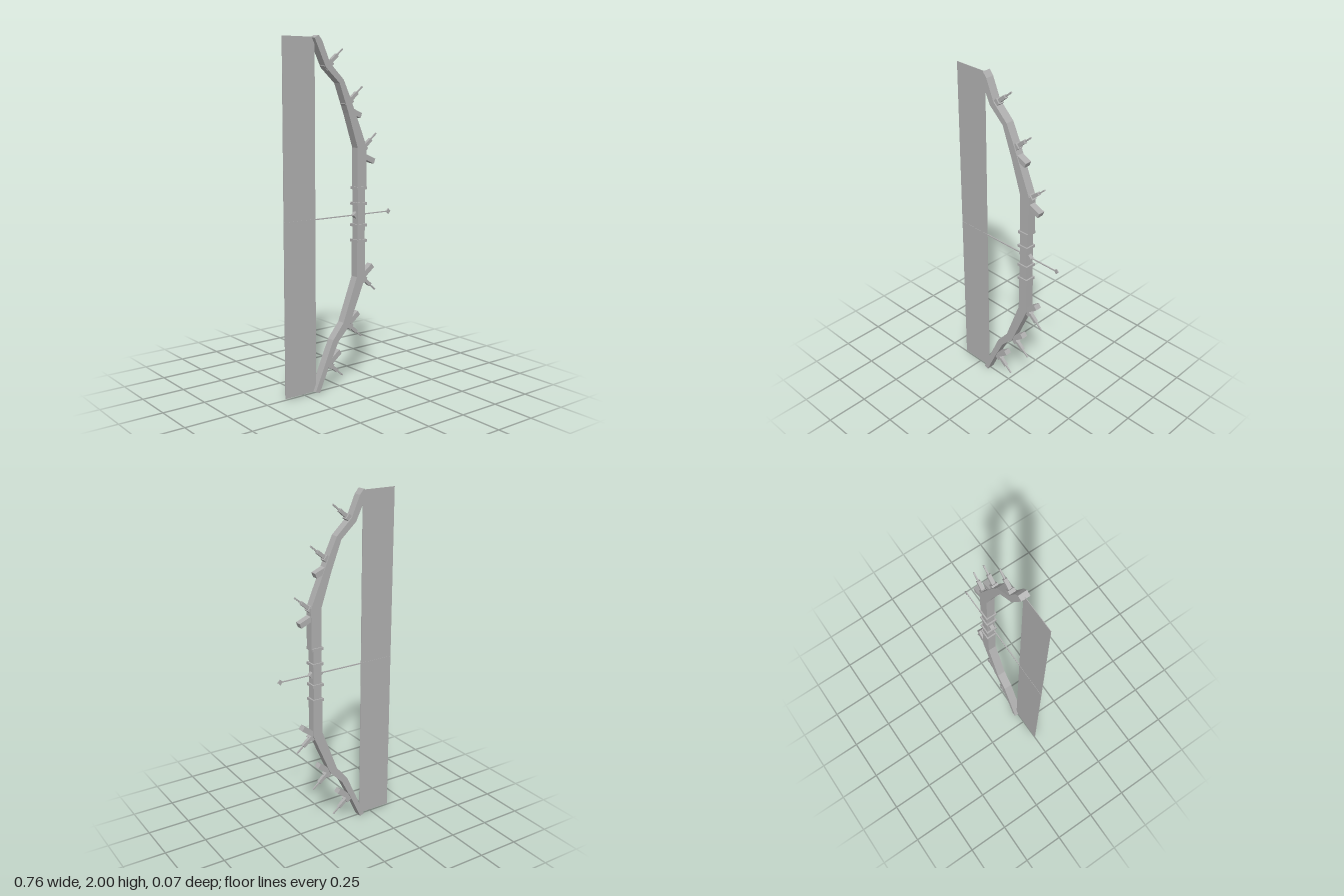
import * as THREE from 'three';

export function createModel() {
  const bow = new THREE.Group();
  bow.name = 'thornBow';
  const grey = new THREE.MeshStandardMaterial({ color: 0xb0b0b0 });
  grey.name = 'grey';

  function box(name, w, h, d, x, y, angle = 0, parent = bow) {
    const mesh = new THREE.Mesh(new THREE.BoxGeometry(w, h, d), grey);
    mesh.name = name;
    mesh.position.set(x, y, 0);
    mesh.rotation.z = angle;
    parent.add(mesh);
    return mesh;
  }

  // Limb outline extruded to a constant depth
  function limb(name, points) {
    const shape = new THREE.Shape(points.map(([x, y]) => new THREE.Vector2(x, y)));
    const geo = new THREE.ExtrudeGeometry(shape, { depth: 0.05, bevelEnabled: false });
    geo.translate(0, 0, -0.025);
    const mesh = new THREE.Mesh(geo, grey);
    mesh.name = name;
    bow.add(mesh);
  }
  limb('upperLimb', [
    [0.11, 1.155], [0.175, 1.155], [0.175, 1.39], [0.06, 1.66], [0.01, 1.765], [-0.085, 1.855],
    [-0.135, 1.97], [-0.16, 2.0], [-0.187, 1.985], [-0.112, 1.83], [-0.018, 1.745], [0.045, 1.58], [0.11, 1.385],
  ]);
  limb('lowerLimb', [
    [0.107, 0.85], [0.107, 0.64], [0.01, 0.385], [-0.064, 0.295], [-0.122, 0.165], [-0.188, 0.013],
    [-0.16, 0.003], [-0.095, 0.145], [-0.027, 0.28], [0.052, 0.36], [0.168, 0.63], [0.168, 0.85],
  ]);

  // Grip, its bands and the arrow rest
  box('grip', 0.052, 0.32, 0.05, 0.138, 1.0);
  for (const y of [0.85, 0.94, 1.065, 1.155]) box('gripBand', 0.07, 0.016, 0.066, 0.138, y);
  box('arrowRest', 0.064, 0.064, 0.024, 0.138, 1.0, Math.PI / 4);

  // Stepped thorns: three narrowing blocks along one direction
  function thorn(x, y, up) {
    const group = new THREE.Group();
    group.name = 'thorn';
    group.position.set(x, y, 0);
    group.rotation.z = up * 0.70;
    box('thornBase', 0.06, 0.034, 0.036, 0.02, 0, 0, group);
    box('thornMiddle', 0.06, 0.02, 0.02, 0.075, 0, 0, group);
    box('thornTip', 0.055, 0.008, 0.008, 0.13, 0, 0, group);
    bow.add(group);
  }
  for (const [x, y] of [[-0.1, 1.83], [0.04, 1.625], [0.143, 1.36]]) thorn(x, y, 1);
  for (const [x, y] of [[-0.1, 0.167], [0.04, 0.377], [0.143, 0.643]]) thorn(x, y, -1);

  // Blunt stubs beside the thorns: centre and angle
  for (const [x, y, a] of [
    [0.1, 1.582, -0.4], [0.2, 1.32, -0.4],
    [0.197, 0.667, 0.65], [0.093, 0.4, 0.65], [-0.042, 0.192, 0.65],
  ]) box('stub', 0.085, 0.03, 0.04, x, y, a);

  // Broad thin string panel
  box('stringPanel', 0.21, 1.98, 0.003, -0.275, 1.0);

  // Arrow with a small diamond head
  box('arrowShaft', 0.735, 0.006, 0.006, -0.0125, 1.0);
  box('arrowHead', 0.023, 0.023, 0.006, 0.362, 1.0, Math.PI / 4);

  return bow;
}
